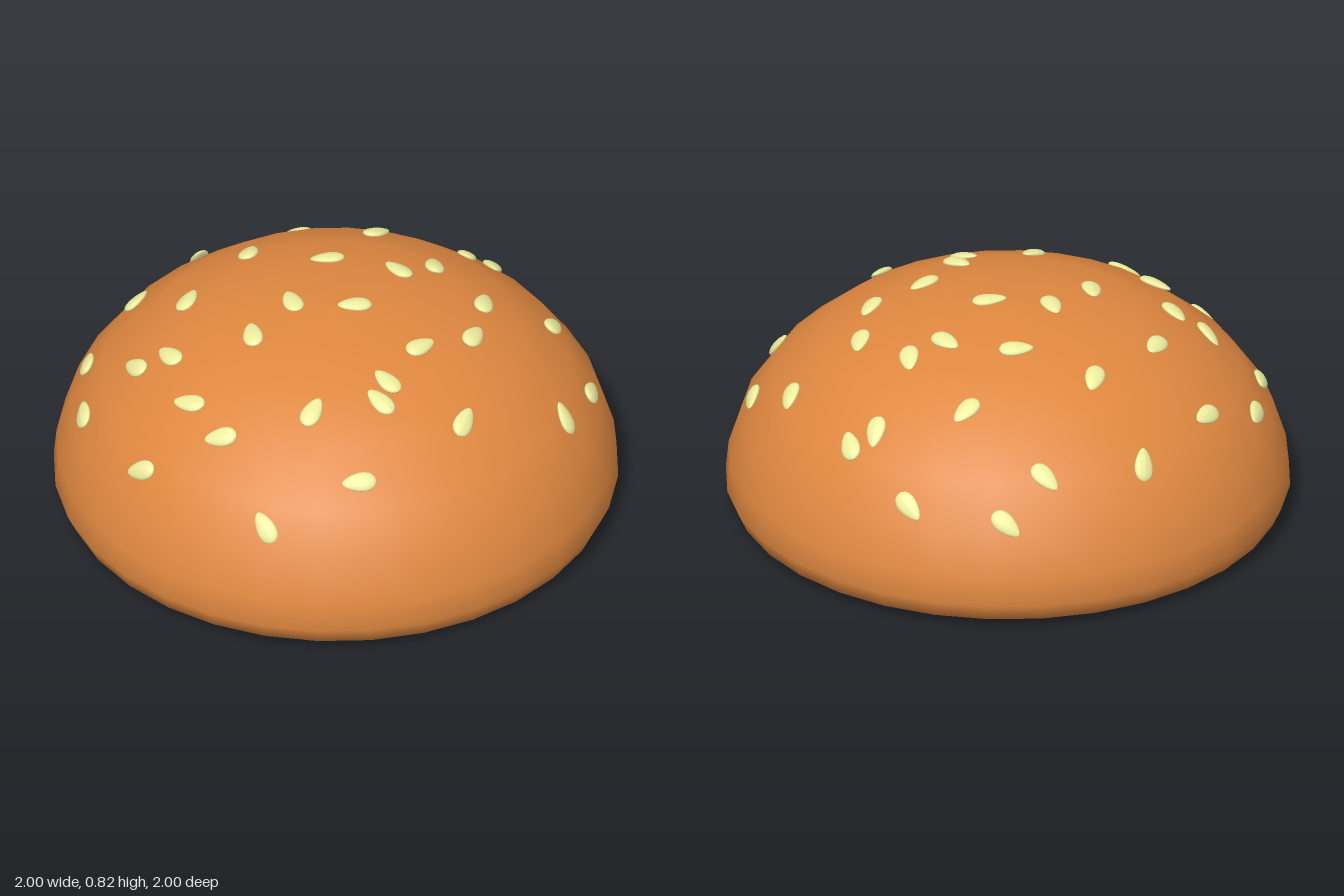
import * as THREE from 'three';

// Bun outline, bottom centre to top centre: radius, height
const PROFILE = [
  [0, 0], [0.82, 0.013], [0.97, 0.035], [1, 0.1], [0.99, 0.2], [0.94, 0.355],
  [0.835, 0.505], [0.655, 0.655], [0.465, 0.735], [0.24, 0.787], [0, 0.802],
];

// Sesame seeds seen from above: x, z, heading of the pointed end in degrees
const SEEDS = [
  [0.12, -0.91, 215], [-0.03, -0.82, 225], [0.45, -0.78, 235], [-0.39, -0.74, 95], [0.22, -0.575, -40],
  [0.535, -0.52, -70], [0.625, -0.515, 85], [-0.65, -0.46, -50], [-0.25, -0.46, -70], [0.01, -0.315, 180],
  [0.25, -0.22, 235], [0.385, -0.27, -85], [-0.85, -0.26, -75], [-0.5, -0.22, -60], [0.535, -0.065, -75],
  [0.79, -0.13, -70], [-0.15, -0.045, -100], [0.065, 0.01, 180], [-0.9, 0.015, -85], [-0.715, 0.02, 245],
  [-0.6, 0.065, 245], [-0.31, 0.1, -90], [0.47, 0.15, -60], [0.895, 0.11, -75], [0.27, 0.235, -35],
  [-0.565, 0.325, 215], [0.13, 0.405, 235], [0.095, 0.49, 230], [-0.475, 0.5, 200], [-0.15, 0.505, -55],
  [0.385, 0.545, -60], [-0.75, 0.435, 220], [0.77, 0.355, 240], [-0.355, 0.805, 240], [-0.015, 0.755, 180],
];

// Height and outward normal of the dome at (x, z)
function domeAt(x, z) {
  const r = Math.hypot(x, z);
  let i = 4;
  while (i < PROFILE.length - 2 && PROFILE[i + 1][0] > r) i++;
  const [r0, y0] = PROFILE[i], [r1, y1] = PROFILE[i + 1];
  const y = y0 + (y1 - y0) * (r0 - r) / (r0 - r1);
  const normal = new THREE.Vector3(x / r * (y1 - y0), r0 - r1, z / r * (y1 - y0)).normalize();
  return { y, normal };
}

// Flattened teardrop lying along x, narrowing towards +x
function seedGeometry() {
  const geo = new THREE.SphereGeometry(1, 14, 10);
  geo.rotateZ(-Math.PI / 2);
  const p = geo.attributes.position;
  for (let i = 0; i < p.count; i++) {
    const taper = 1 - 0.28 * p.getX(i);
    p.setXYZ(i, p.getX(i) * 0.061, p.getY(i) * 0.015 * taper, p.getZ(i) * 0.035 * taper);
  }
  geo.computeVertexNormals();
  return geo;
}

export function createModel() {
  const model = new THREE.Group();
  model.name = 'bunTop';

  // Domed bread with a nearly flat underside
  const bun = new THREE.Mesh(
    new THREE.LatheGeometry(PROFILE.map(([r, y]) => new THREE.Vector2(r, y)), 32),
    new THREE.MeshStandardMaterial({ color: 0xe08840 }),
  );
  bun.name = 'bun';
  model.add(bun);

  // Seeds resting on the crust, each tilted to its slope
  const seeds = new THREE.Group();
  seeds.name = 'sesameSeeds';
  const geo = seedGeometry();
  const seedMaterial = new THREE.MeshStandardMaterial({ color: 0xeeeea0 });
  for (const [x, z, degrees] of SEEDS) {
    const { y, normal } = domeAt(x, z);
    const a = THREE.MathUtils.degToRad(degrees);
    const dx = Math.cos(a), dz = Math.sin(a);
    const along = new THREE.Vector3(dx, -(normal.x * dx + normal.z * dz) / normal.y, dz).normalize();
    const across = new THREE.Vector3().crossVectors(along, normal);
    const seed = new THREE.Mesh(geo, seedMaterial);
    seed.name = 'seed';
    seed.quaternion.setFromRotationMatrix(new THREE.Matrix4().makeBasis(along, normal, across));
    seed.position.set(x, y, z).addScaledVector(normal, 0.003);
    seeds.add(seed);
  }
  model.add(seeds);
  return model;
}
